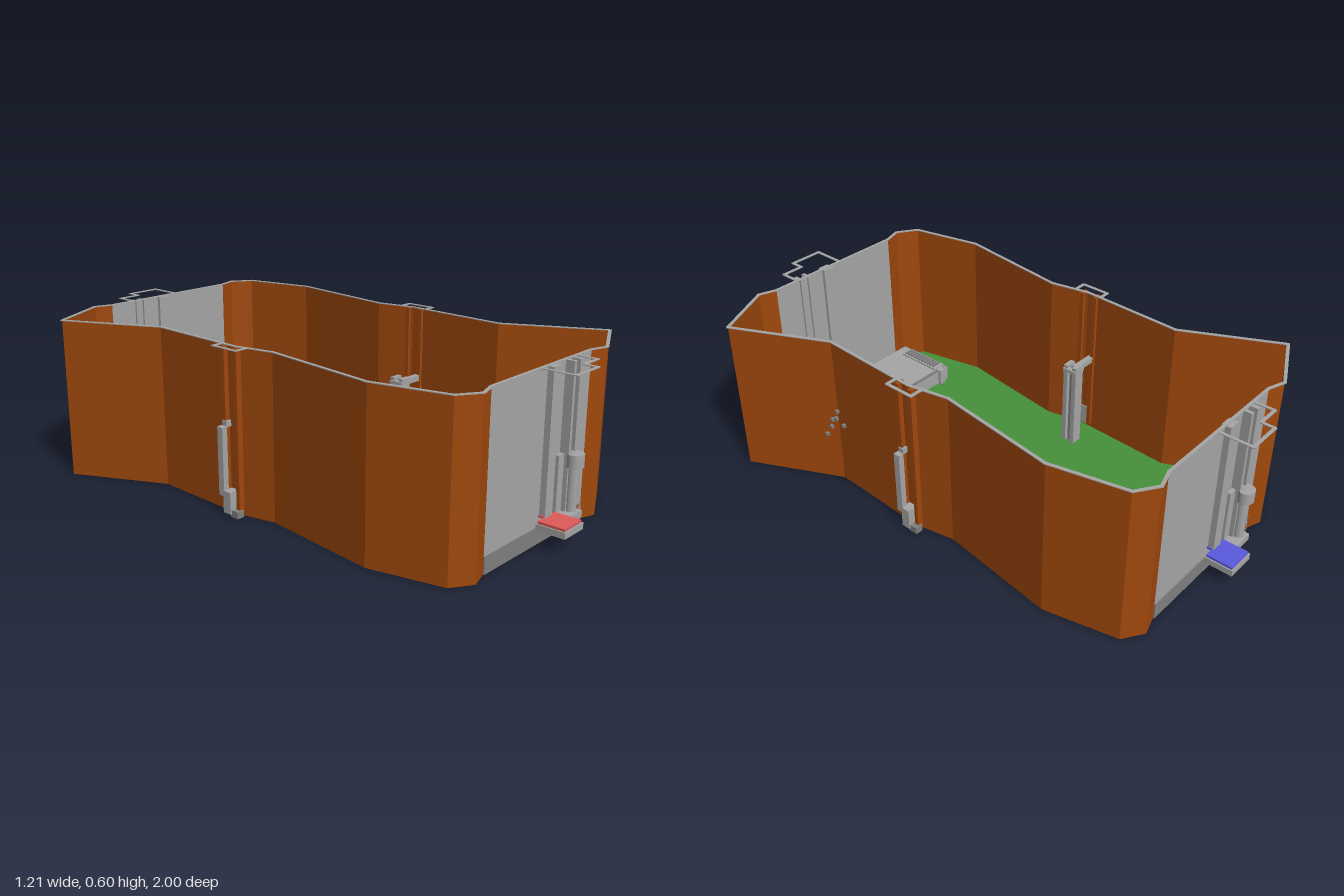
import * as THREE from 'three';

const paint = (name, color) => {
  const m = new THREE.MeshStandardMaterial({ color, side: THREE.DoubleSide });
  m.name = name;
  return m;
};

const WALL_H = 0.6, DECK_Y = 0.06;

// Half of the arena outline as [x, z]; the other half is turned by 180 degrees
const HALF = [
  [0.445, 0.03], [0.427, 0.43], [0.6, 0.78], [0.375, 0.89], [0.31, 0.868],
  [-0.27, 0.868], [-0.34, 0.89], [-0.415, 0.84], [-0.475, 0.57], [-0.415, 0.12],
];
const GOAL_SEGMENT = 4;

export function createModel() {
  const orange = paint('orange wall', 0xa0480c);
  const green = paint('green floor', 0x46903c);
  const gray = paint('gray metal', 0xa6a6a6);
  const darkGray = paint('dark gray metal', 0x808080);
  const red = paint('red', 0xe05a5a);
  const blue = paint('blue', 0x5a5ae0);

  const model = new THREE.Group();
  model.name = 'arena';

  const add = (parent, name, geometry, material) => {
    const mesh = new THREE.Mesh(geometry, material);
    mesh.name = name;
    parent.add(mesh);
    return mesh;
  };
  // Box given by its lower and upper limits on each axis
  const box = (parent, name, material, x0, x1, y0, y1, z0, z1) => {
    const mesh = add(parent, name, new THREE.BoxGeometry(x1 - x0, y1 - y0, z1 - z0), material);
    mesh.position.set((x0 + x1) / 2, (y0 + y1) / 2, (z0 + z1) / 2);
    return mesh;
  };
  // Upright panel or flat strip standing between two outline points
  const run = (parent, name, material, a, b, y0, y1, thick) => {
    const dx = b[0] - a[0], dz = b[1] - a[1], length = Math.hypot(dx, dz);
    const geometry = thick
      ? new THREE.BoxGeometry(length + thick * 0.6, y1 - y0, thick)
      : new THREE.PlaneGeometry(length, y1 - y0);
    const mesh = add(parent, name, geometry, material);
    mesh.position.set((a[0] + b[0]) / 2, (y0 + y1) / 2, (a[1] + b[1]) / 2);
    mesh.rotation.y = -Math.atan2(dz, dx);
    return mesh;
  };
  // Thin rim around an open or closed row of points
  const rimLoop = (parent, points) => {
    for (let i = 0; i + 1 < points.length; i++) {
      run(parent, 'rim', gray, points[i], points[i + 1], WALL_H - 0.003, WALL_H, 0.012);
    }
  };

  // Floor with an opening under each raised deck
  const turned = HALF.map(([x, z]) => [-x, -z]);
  const outline = [...HALF, ...turned];
  const floorShape = new THREE.Shape(outline.map(([x, z]) => new THREE.Vector2(x, z)));
  for (const s of [1, -1]) {
    floorShape.holes.push(new THREE.Path(
      [[-0.325, 0.61], [0.31, 0.61], [0.31, 0.865], [-0.325, 0.865]]
        .map(([x, z]) => new THREE.Vector2(x * s, z * s))));
  }
  const floor = add(model, 'floor', new THREE.ShapeGeometry(floorShape), green);
  floor.rotation.x = Math.PI / 2;
  floor.position.y = 0.004;

  const buildEnd = (name, boxColor) => {
    const end = new THREE.Group();
    end.name = name;

    // Outer wall with the gray goal panel
    const path = [...HALF, turned[0]];
    for (let i = 0; i + 1 < path.length; i++) {
      const goal = i === GOAL_SEGMENT;
      run(end, goal ? 'goalWall' : 'wall', goal ? gray : orange, path[i], path[i + 1], 0, WALL_H, 0);
    }
    rimLoop(end, path);

    // Raised deck with open underside
    box(end, 'deck', gray, -0.325, 0.31, DECK_Y - 0.008, DECK_Y, 0.61, 0.866);
    box(end, 'deckFrontSkirt', gray, -0.325, 0.31, 0, DECK_Y, 0.607, 0.613);
    box(end, 'deckSkirt', darkGray, -0.33, -0.325, 0, DECK_Y, 0.61, 0.866);
    box(end, 'deckSkirt', darkGray, 0.305, 0.31, 0, DECK_Y, 0.61, 0.866);
    box(end, 'deckLip', darkGray, -0.27, 0.31, 0, DECK_Y, 0.866, 0.872);
    box(end, 'deckRail', darkGray, -0.31, -0.07, DECK_Y, 0.068, 0.61, 0.618);
    for (const x of [-0.285, 0.265]) {
      box(end, 'deckFoot', gray, x - 0.015, x + 0.015, 0, 0.07, 0.595, 0.62);
    }

    // Ribbed grille on the deck
    box(end, 'grilleBase', gray, -0.325, -0.27, DECK_Y, 0.066, 0.63, 0.82);
    for (let i = 0; i < 11; i++) {
      const z = 0.645 + i * 0.016;
      box(end, 'grilleRib', darkGray, -0.318, -0.277, 0.066, 0.073, z, z + 0.007);
    }

    // Goal pillars and the lift on the outside
    box(end, 'pillar', gray, 0.04, 0.085, 0.09, WALL_H - 0.004, 0.855, 0.89);
    for (const x of [0.148, 0.185]) {
      box(end, 'liftRail', gray, x, x + 0.014, DECK_Y, WALL_H - 0.004, 0.86, 0.9);
    }
    box(end, 'liftPanel', gray, 0.115, 0.2, DECK_Y, 0.285, 0.87, 0.885);
    const tube = add(end, 'liftTube', new THREE.CylinderGeometry(0.02, 0.02, 0.2, 16), gray);
    tube.position.set(0.175, 0.16, 0.905);
    const drum = add(end, 'liftDrum', new THREE.CylinderGeometry(0.031, 0.031, 0.045, 20), gray);
    drum.position.set(0.175, 0.262, 0.91);
    box(end, 'liftFoot', gray, 0.115, 0.2, DECK_Y, 0.085, 0.87, 0.935);

    // Coloured box on its tray
    box(end, 'tray', gray, 0.003, 0.117, 0.06, 0.083, 0.88, 0.987);
    box(end, 'colourBox', boxColor, 0.008, 0.112, 0.083, 0.092, 0.883, 0.982);
    box(end, 'boxLatch', boxColor, 0.035, 0.08, 0.092, 0.1, 0.845, 0.885);

    // Rim loop over the lift
    rimLoop(end, [[-0.005, 0.868], [-0.005, 0.993], [0.125, 0.993], [0.125, 0.945],
      [0.21, 0.945], [0.21, 0.868]]);

    // Posts: twin bars with a cap, built in their own frame with the arm along +z
    const post = (x, z, angle, base, height, reach) => {
      const g = new THREE.Group();
      g.name = 'post';
      for (const s of [-1, 1]) {
        box(g, 'postBar', gray, s * 0.02 - 0.009, s * 0.02 + 0.009, base, height, -0.022, 0.022);
      }
      box(g, 'postWeb', darkGray, -0.012, 0.012, base, height - 0.01, -0.006, 0.006);
      box(g, 'postCap', gray, -0.029, 0.029, height - 0.025, height - 0.012, -0.028, 0.028);
      box(g, 'postArm', gray, -0.011, 0.011, height - 0.035, height - 0.013, 0.02, reach);
      g.position.set(x, 0, z);
      g.rotation.y = angle;
      end.add(g);
    };
    post(0.175, 0.735, 0, DECK_Y, 0.3, 0.17);
    post(0.325, 0.065, Math.PI / 2, 0, 0.35, 0.14);

    // Side lift outside the long wall
    box(end, 'sideBar', gray, 0.463, 0.485, 0.07, 0.318, 0.055, 0.08);
    box(end, 'sideFoot', gray, 0.44, 0.485, 0.01, 0.09, 0.025, 0.06);
    box(end, 'sideBlock', darkGray, 0.45, 0.48, 0, 0.025, -0.005, 0.03);
    for (const z of [0.062, 0.003]) {
      box(end, 'sideFin', orange, 0.43, 0.462, 0.02, WALL_H - 0.004, z, z + 0.016);
    }
    rimLoop(end, [[0.44, -0.022], [0.485, -0.022], [0.485, 0.088], [0.44, 0.088]]);

    // Small peg and bracket beside the goal
    const peg = add(end, 'peg', new THREE.CylinderGeometry(0.007, 0.007, 0.025, 8), orange);
    peg.position.set(0.24, 0.065, 0.893);
    box(end, 'bracket', gray, 0.25, 0.283, 0.004, 0.058, 0.868, 0.882);

    model.add(end);
    return end;
  };

  buildEnd('frontEnd', red);
  buildEnd('backEnd', blue).rotation.y = Math.PI;

  // Loose studs beside the left wall, as [z, y]
  [[0.4, 0.33], [0.37, 0.33], [0.43, 0.282], [0.4, 0.282], [0.37, 0.282], [0.43, 0.235]]
    .forEach(([z, y], i) => {
      const x = i % 2 ? 0.485 : 0.455;
      box(model, 'stud', darkGray, x - 0.006, x + 0.006, y - 0.006, y + 0.006, z - 0.006, z + 0.006);
    });

  return model;
}
